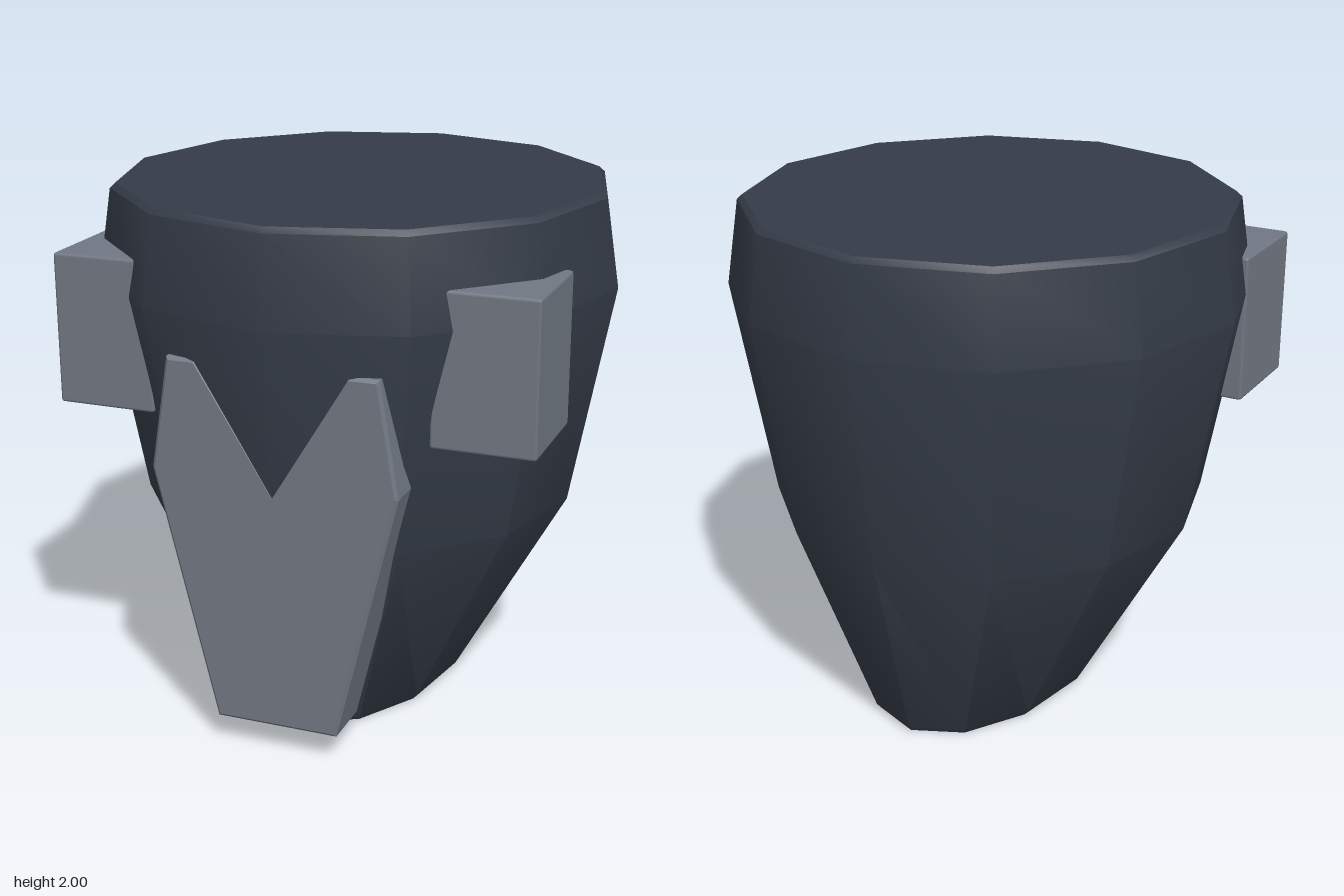
import * as THREE from 'three';
import { toCreasedNormals } from 'three/addons/utils/BufferGeometryUtils.js';
import { RoundedBoxGeometry } from 'three/addons/geometries/RoundedBoxGeometry.js';

export function createModel() {
  const group = new THREE.Group();
  const dark = new THREE.MeshStandardMaterial({ name: 'dark slate', color: 0x353c48 });
  const grey = new THREE.MeshStandardMaterial({ name: 'steel grey', color: 0x717883 });

  const add = (name, geometry, material) => {
    const mesh = new THREE.Mesh(geometry, material);
    mesh.name = name;
    group.add(mesh);
    return mesh;
  };

  // Body: twelve-sided rings [y, half width, half depth], oval at the base and round at the top
  const rings = [
    [0, 0, 0], [0, 0.385, 0.635], [0.02, 0.405, 0.65], [0.8, 0.84, 0.865],
    [1.65, 1, 1], [1.98, 0.947, 0.957], [2, 0.925, 0.937], [2, 0, 0],
  ];
  const body = new THREE.LatheGeometry(rings.map(([y, w]) => new THREE.Vector2(w, y)), 12);
  const pos = body.attributes.position;
  for (let i = 0; i < pos.count; i++) {
    const [, w, d] = rings[i % rings.length];
    if (w > 0) pos.setZ(i, pos.getZ(i) * d / w);
  }
  add('body', toCreasedNormals(body, 0.55), dark);

  // Notched front plate with a fine bevel
  const half = [[0.235, 0.11], [0.47, 1.07], [0.4, 1.495], [0.285, 1.495]];
  const outline = [
    ...half, [0, 1.03],
    ...half.map(([x, y]) => [-x, y]).reverse(),
  ].map(([x, y]) => new THREE.Vector2(x, y));
  const bevel = 0.012;
  const plate = new THREE.ExtrudeGeometry(new THREE.Shape(outline), {
    depth: 0.23 - 2 * bevel, bevelEnabled: true, bevelSegments: 1,
    bevelThickness: bevel, bevelSize: bevel, bevelOffset: -bevel,
  });
  plate.translate(0, 0, 0.67 + bevel);
  add('frontPlate', plate, grey);

  // Square blocks at the front corners
  for (const side of [1, -1]) {
    const block = add(side > 0 ? 'leftBlock' : 'rightBlock',
      new RoundedBoxGeometry(0.385, 0.57, 0.425, 1, 0.012), grey);
    block.position.set(side * 0.7225, 1.505, 0.5425);
  }
  return group;
}
